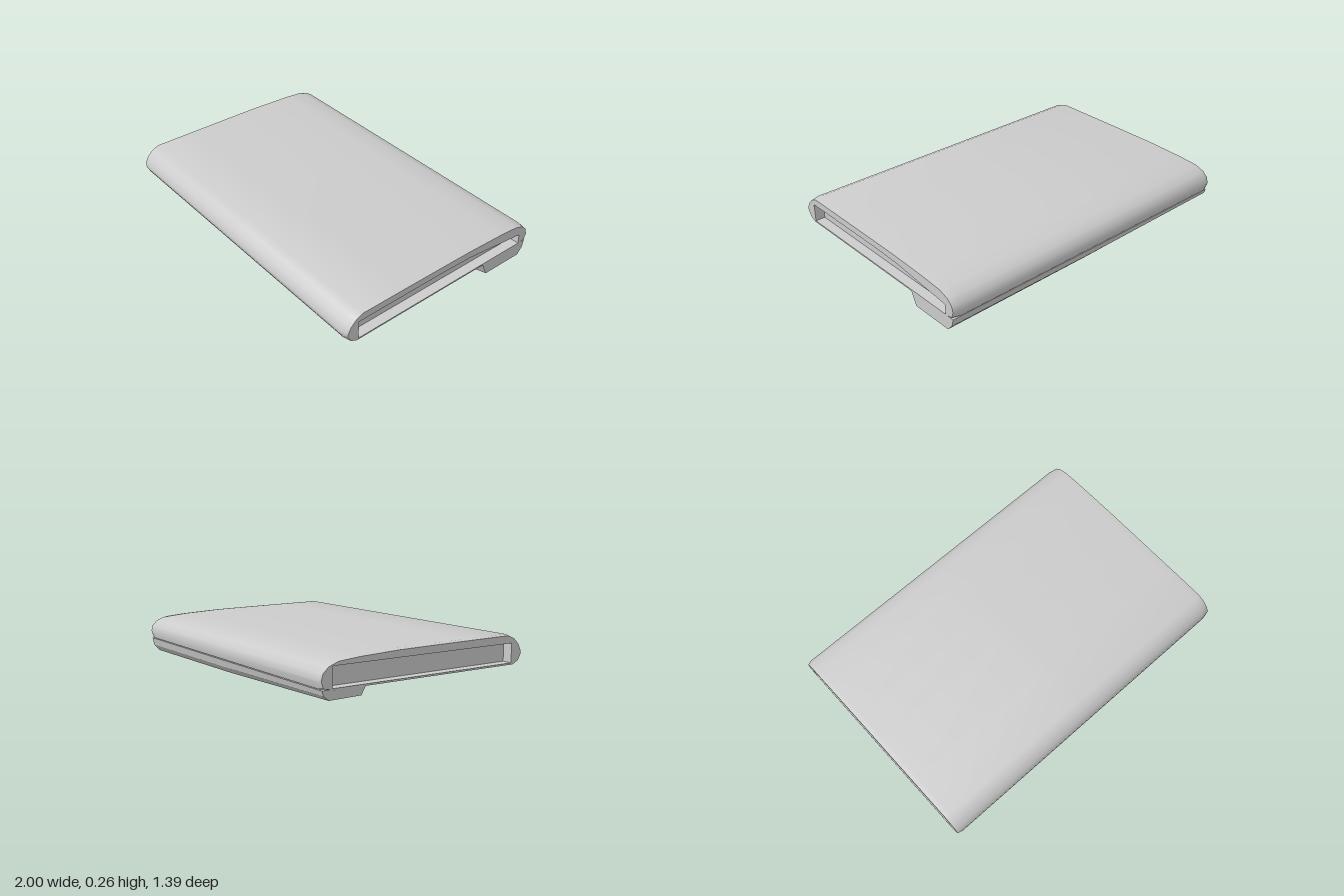
import * as THREE from 'three';
import { toCreasedNormals } from 'three/addons/utils/BufferGeometryUtils.js';

const clamp = THREE.MathUtils.clamp;

// Skins a list of equal-length closed rings and caps both ends with fans.
function loft(rings, crease) {
  const n = rings[0].length;
  const pos = [];
  const tri = (...pts) => pts.forEach((p) => pos.push(p[0], p[1], p[2]));
  const centre = (ring) => [0, 1, 2].map((k) => ring.reduce((s, p) => s + p[k], 0) / n);
  const first = rings[0];
  const last = rings[rings.length - 1];
  const c0 = centre(first);
  const c1 = centre(last);
  for (let j = 0; j < n; j++) {
    const k = (j + 1) % n;
    for (let i = 0; i + 1 < rings.length; i++) {
      const a = rings[i];
      const b = rings[i + 1];
      tri(a[j], b[j], b[k]);
      tri(a[j], b[k], a[k]);
    }
    tri(c0, first[j], first[k]);
    tri(c1, last[k], last[j]);
  }
  const geometry = new THREE.BufferGeometry();
  geometry.setAttribute('position', new THREE.Float32BufferAttribute(pos, 3));
  return toCreasedNormals(geometry, crease);
}

// Slab cross-section as [z, y], from the front underside over the top to the back.
const section = [
  [0.62, 0.085], [0.66, 0.105], [0.68, 0.14], [0.68, 0.165], [0.66, 0.205], [0.625, 0.24],
  [0.58, 0.259], [0.3, 0.258], [0, 0.256], [-0.2, 0.254], [-0.45, 0.244], [-0.58, 0.233],
  [-0.64, 0.21], [-0.672, 0.178], [-0.682, 0.14], [-0.67, 0.1], [-0.6, 0.085],
];

// The slab is slightly skewed: z shifts with x.
const skew = (x) => 0.017 * x;

function outerRing(x, inset) {
  return section.map(([z, y]) => [
    x, 0.17 + (y - 0.17) * (1 - inset * 5), z * (1 - inset) + skew(x),
  ]);
}

// Pocket outline; on the +x end its roof drops towards the back.
function pocketRing(x) {
  return section.map(([z, y]) => {
    const zz = clamp(z, -0.61, 0.6);
    const roof = x > 0 ? 0.21 - 0.05 * clamp((-0.15 - zz) / 0.46, 0, 1) : 0.21;
    return [x, clamp(y, 0.1, roof), zz + skew(x)];
  });
}

function buildSlab() {
  return loft([
    pocketRing(-0.94), pocketRing(-1),
    outerRing(-1, 0.012), outerRing(-0.97, 0),
    outerRing(0, 0),
    outerRing(0.95, 0), outerRing(1, 0.015),
    pocketRing(1), pocketRing(0.94),
  ], 0.6);
}

// Underside swelling: [x, z, y, outward z offset at the slab]
const footprint = [
  [1, -0.34, 0.01, 0.04], [0.78, -0.28, 0.008, 0.1], [0.58, -0.15, 0.008, 0.03],
  [0.4, -0.1, 0.008, 0.09], [0.17, 0.03, 0, 0.06], [0.1, 0.1, 0, 0.18],
  [-0.1, 0.1, 0, 0.2], [-0.16, 0.04, 0.03, 0.06], [-0.4, -0.11, 0.033, 0.08],
  [-0.6, -0.22, 0.034, 0.03], [-0.78, -0.33, 0.036, 0.07], [-1, -0.45, 0.045, 0.03],
  [-1, -0.645, 0.042, -0.04], [0, -0.625, 0.018, -0.045], [1, -0.605, 0.01, -0.045],
];

function buildSwelling() {
  const level = (t, spread) => footprint.map(([x, z, y, out]) => [
    x * 0.997, y + (0.095 - y) * t, z + out * (out < 0 ? spread : t),
  ]);
  return loft([level(0, 0), level(0.45, 0.75), level(1, 1)], 0.3);
}

export function createModel() {
  const group = new THREE.Group();
  const material = new THREE.MeshStandardMaterial({ color: 0xcccccc });
  const parts = { slabWithEndPockets: buildSlab(), undersideSwelling: buildSwelling() };
  for (const [name, geometry] of Object.entries(parts)) {
    const mesh = new THREE.Mesh(geometry, material);
    mesh.name = name;
    group.add(mesh);
  }
  return group;
}
